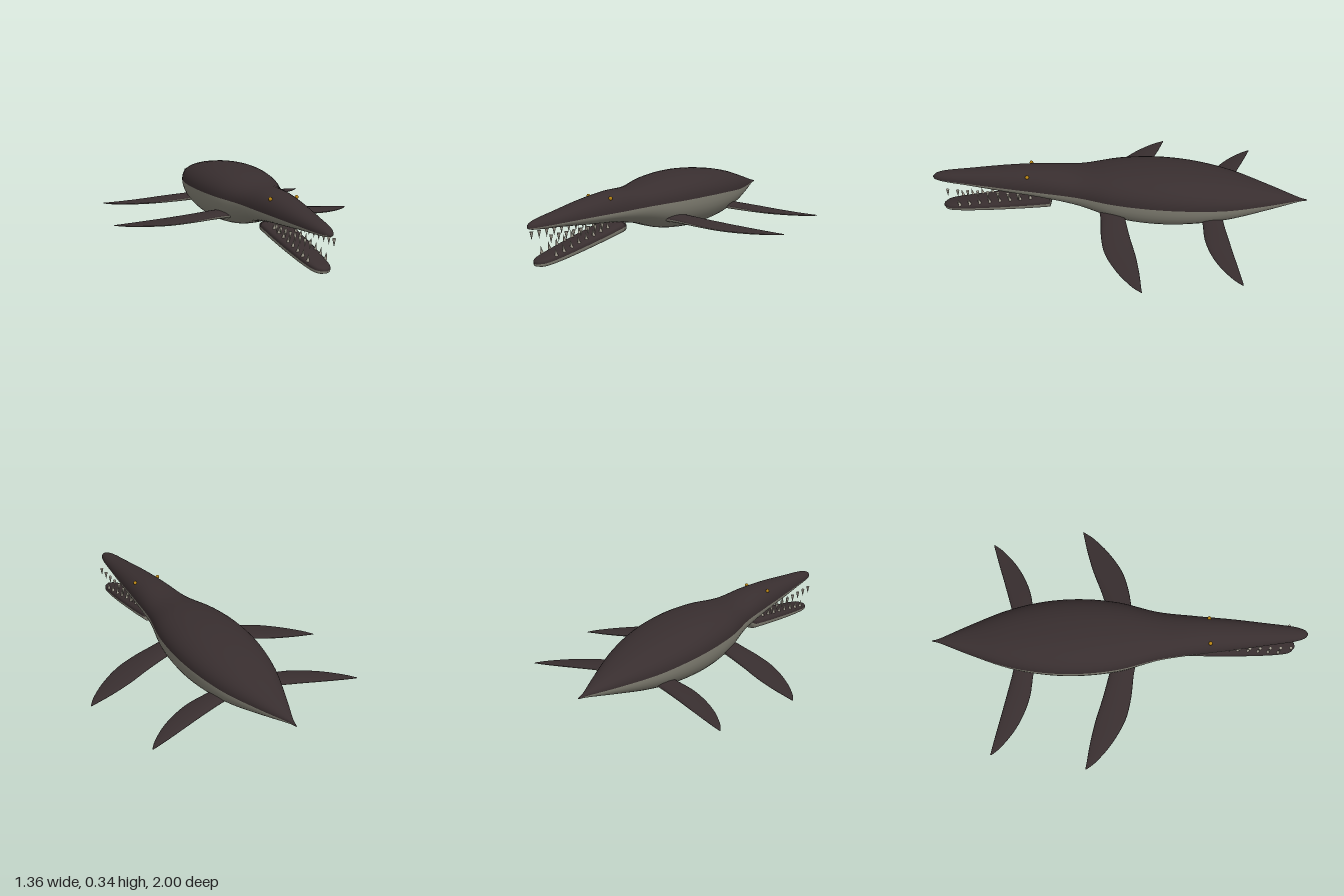
import * as THREE from 'three';

const mat = (name, color) => {
  const m = new THREE.MeshStandardMaterial({ color });
  m.name = name;
  return m;
};

// Smooths a short table of five-number sections into many
function refine(rows, count) {
  const curve = (a, b, c) => new THREE.CatmullRomCurve3(
    rows.map(r => new THREE.Vector3(r[a], r[b], r[c])), false, 'catmullrom', 0.5);
  const c1 = curve(0, 1, 2), c2 = curve(0, 3, 4), out = [];
  for (let i = 0; i <= count; i++) {
    const p = c1.getPoint(i / count), q = c2.getPoint(i / count);
    out.push([p.x, p.y, p.z, q.y, q.z]);
  }
  return out;
}

// Skin over rings { c: centre, a: half-width vector, up, down }; group 0 is the back, group 1 the belly
function loft(rings, sides, power) {
  const pos = [], index = [];
  const pw = v => Math.sign(v) * Math.pow(Math.abs(v), power);
  const closed = [{ ...rings[0], flat: true }, ...rings, { ...rings[rings.length - 1], flat: true }];
  for (const r of closed) {
    const k = r.flat ? 0 : 1;
    for (let j = 0; j < sides; j++) {
      const t = j / sides * Math.PI * 2;
      const s = j === sides / 2 ? 0 : pw(Math.sin(t)) * k, c = pw(Math.cos(t)) * k;
      pos.push(r.c.x + r.a.x * c, r.c.y + s * (s > 0 ? r.up : r.down), r.c.z + r.a.z * c);
    }
  }
  const geo = new THREE.BufferGeometry();
  for (let half = 0; half < 2; half++) {
    const start = index.length;
    for (let i = 0; i < closed.length - 1; i++) {
      for (let j = half * sides / 2; j < (half + 1) * sides / 2; j++) {
        const k = (j + 1) % sides, a = i * sides, b = a + sides;
        index.push(a + j, a + k, b + k, a + j, b + k, b + j);
      }
    }
    geo.addGroup(start, index.length - start, half);
  }
  geo.setAttribute('position', new THREE.Float32BufferAttribute(pos, 3));
  geo.setIndex(index);
  geo.computeVertexNormals();
  return geo;
}

// Rings along z from rows of [z, halfWidth, colourLine, top, bottom]
const alongZ = rows => rows.map(([z, w, mid, top, bottom]) => ({
  c: new THREE.Vector3(0, mid, z), a: new THREE.Vector3(Math.max(w, 0.0005), 0, 0),
  up: Math.max(top - mid, 0.0005), down: Math.max(mid - bottom, 0.0005)
}));

// Rings outward along x from rows of [x, leadingZ, y, trailingZ, halfThickness]
const alongX = (rows, side) => rows.map(([x, lead, y, trail, h]) => ({
  c: new THREE.Vector3(side * x, y, (lead + trail) / 2),
  a: new THREE.Vector3(0, 0, -side * Math.max(lead - trail, 0.002) / 2),
  up: Math.max(h, 0.001), down: Math.max(h, 0.001)
}));

export function createModel() {
  const group = new THREE.Group();
  const dark = mat('darkSkin', 0x382e2f);
  const pale = mat('paleBelly', 0x7e7c70);
  const ivory = mat('toothIvory', 0xa8a294);
  const amber = mat('eyeAmber', 0xb98412);
  const add = (name, geo, material) => {
    const mesh = new THREE.Mesh(geo, material);
    mesh.name = name;
    group.add(mesh);
    return mesh;
  };

  // Body, neck and upper jaw in one skin
  const body = refine([
    [-1.0, 0.002, 0.195, 0.198, 0.192],
    [-0.95, 0.016, 0.195, 0.209, 0.182],
    [-0.8, 0.08, 0.198, 0.252, 0.142],
    [-0.6, 0.155, 0.205, 0.305, 0.09],
    [-0.4, 0.197, 0.215, 0.336, 0.054],
    [-0.2, 0.206, 0.218, 0.346, 0.04],
    [0.0, 0.184, 0.215, 0.334, 0.056],
    [0.2, 0.131, 0.208, 0.304, 0.108],
    [0.4, 0.104, 0.204, 0.301, 0.14],
    [0.6, 0.083, 0.203, 0.281, 0.157],
    [0.8, 0.058, 0.2, 0.251, 0.174],
    [0.92, 0.042, 0.198, 0.233, 0.181],
    [0.98, 0.024, 0.196, 0.218, 0.186],
    [1.0, 0.004, 0.195, 0.2, 0.192]
  ], 78);
  add('body', loft(alongZ(body), 40, 0.9), [dark, pale]);

  // Open lower jaw, flat on top
  const jaw = refine([
    [0.355, 0.08, 0.12, 0.147, 0.085],
    [0.5, 0.076, 0.092, 0.12, 0.06],
    [0.7, 0.067, 0.057, 0.084, 0.028],
    [0.85, 0.054, 0.031, 0.055, 0.007],
    [0.92, 0.04, 0.02, 0.04, 0.001],
    [0.95, 0.012, 0.016, 0.027, 0.006]
  ], 30);
  add('lowerJaw', loft(alongZ(jaw), 32, 0.65), [dark, pale]);

  // Flippers, dark above and pale below
  const front = refine([
    [0.11, 0.085, 0.125, -0.045, 0.022],
    [0.19, 0.068, 0.118, -0.065, 0.021],
    [0.31, 0.052, 0.102, -0.1, 0.017],
    [0.43, 0.018, 0.086, -0.14, 0.013],
    [0.55, -0.055, 0.073, -0.17, 0.009],
    [0.64, -0.135, 0.065, -0.187, 0.005],
    [0.68, -0.188, 0.062, -0.195, 0.002]
  ], 24);
  const rear = refine([
    [0.08, -0.45, 0.13, -0.56, 0.02],
    [0.17, -0.465, 0.122, -0.577, 0.019],
    [0.29, -0.482, 0.112, -0.608, 0.016],
    [0.39, -0.517, 0.102, -0.635, 0.012],
    [0.48, -0.568, 0.094, -0.66, 0.008],
    [0.56, -0.635, 0.088, -0.681, 0.005],
    [0.6, -0.683, 0.086, -0.691, 0.002]
  ], 24);

  const tooth = new THREE.ConeGeometry(0.009, 0.042, 8);
  for (const side of [1, -1]) {
    const word = side > 0 ? 'left' : 'right';
    add(word + 'FrontFlipper', loft(alongX(front, side), 20, 1), [dark, pale]);
    add(word + 'RearFlipper', loft(alongX(rear, side), 20, 1), [dark, pale]);

    // Eye set into the top of the head
    add(word + 'Eye', new THREE.SphereGeometry(0.01, 14, 10), amber)
      .position.set(side * 0.071, 0.277, 0.472);

    // Upper teeth hang down, lower teeth lean forward
    for (let i = 0; i < 8; i++) {
      const upper = add(word + 'UpperTooth', tooth, ivory);
      upper.position.set(side * 0.062, 0.138, 0.91 - i * 0.0545);
      upper.rotation.x = Math.PI;
      const z = 0.86 - i * 0.056;
      const lower = add(word + 'LowerTooth', tooth, ivory);
      lower.position.set(side * 0.046, 0.069 + (0.85 - z) * 0.19, z);
      lower.rotation.x = 0.25;
    }
  }
  return group;
}
